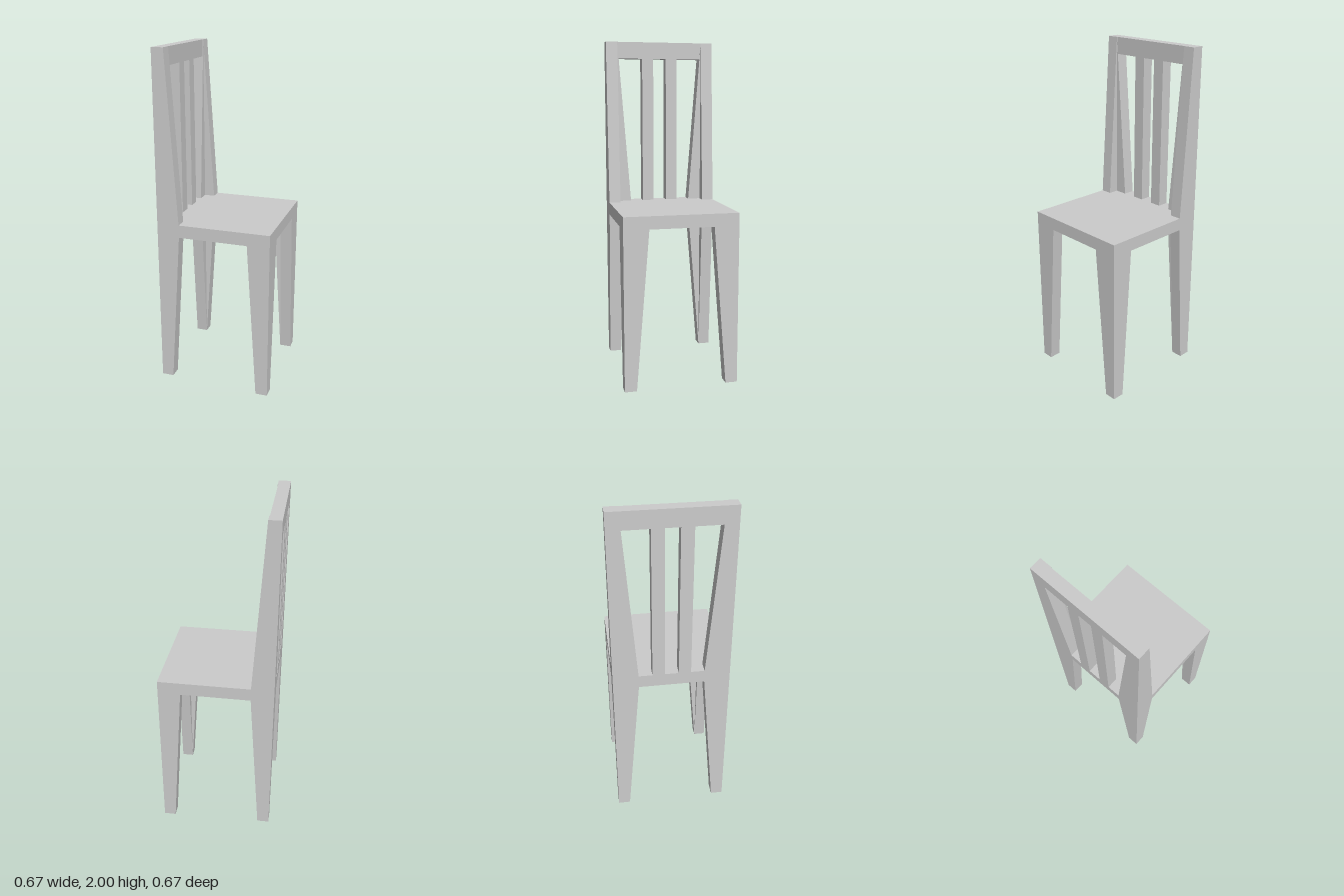
import * as THREE from 'three';

const H = 0.335;      // half width of the chair
const T = 0.07;       // thickness of legs, posts and rail
const SEAT_LOW = 0.94, SEAT_TOP = 1.015;

export function createModel() {
  const group = new THREE.Group();
  const material = new THREE.MeshStandardMaterial({ color: 0xcccccc });
  material.name = 'plain grey';

  function add(name, geometry, parent = group) {
    const mesh = new THREE.Mesh(geometry, material);
    mesh.name = name;
    parent.add(mesh);
    return mesh;
  }

  function box(name, x0, x1, y0, y1, z0, z1) {
    const mesh = add(name, new THREE.BoxGeometry(x1 - x0, y1 - y0, z1 - z0));
    mesh.position.set((x0 + x1) / 2, (y0 + y1) / 2, (z0 + z1) / 2);
  }

  // Upright board with one straight outer edge and one tapering inner edge
  function taperedBoard(side, yThin, yWide, inner) {
    const shape = new THREE.Shape([
      new THREE.Vector2(side * H, yThin),
      new THREE.Vector2(side * (H - T), yThin),
      new THREE.Vector2(side * inner, yWide),
      new THREE.Vector2(side * H, yWide),
    ]);
    return new THREE.ExtrudeGeometry(shape, { depth: T, bevelEnabled: false });
  }

  // Corner upright of two boards meeting at a right angle
  function cornerUpright(name, sx, sz, yThin, yWide) {
    const upright = new THREE.Group();
    upright.name = name;
    group.add(upright);
    const start = (s) => (s > 0 ? H - T : -H);
    const sideBoard = taperedBoard(sx, yThin, yWide, 0.203);
    sideBoard.translate(0, 0, start(sz));
    add(name + 'SideBoard', sideBoard, upright);
    const crossBoard = taperedBoard(-sz, yThin, yWide, 0.188);
    crossBoard.rotateY(Math.PI / 2).translate(start(sx), 0, 0);
    add(name + 'CrossBoard', crossBoard, upright);
  }

  box('seat', -H, H, SEAT_LOW, SEAT_TOP, -H, H);

  // Legs, and the posts of the backrest above the two rear legs
  for (const sz of [-1, 1]) {
    cornerUpright('frontLeg', 1, sz, 0, SEAT_LOW);
    cornerUpright('rearLeg', -1, sz, 0.02, SEAT_LOW);
    cornerUpright('backPost', -1, sz, 2, SEAT_TOP);
  }

  // Backrest rail and slats
  box('topRail', -H, -H + T - 0.003, 1.9, 2, -H + T, H - T);
  for (const z of [-0.075, 0.075]) {
    box('backSlat', -H, -H + T - 0.003, SEAT_TOP, 1.9, z - 0.035, z + 0.035);
  }
  return group;
}
